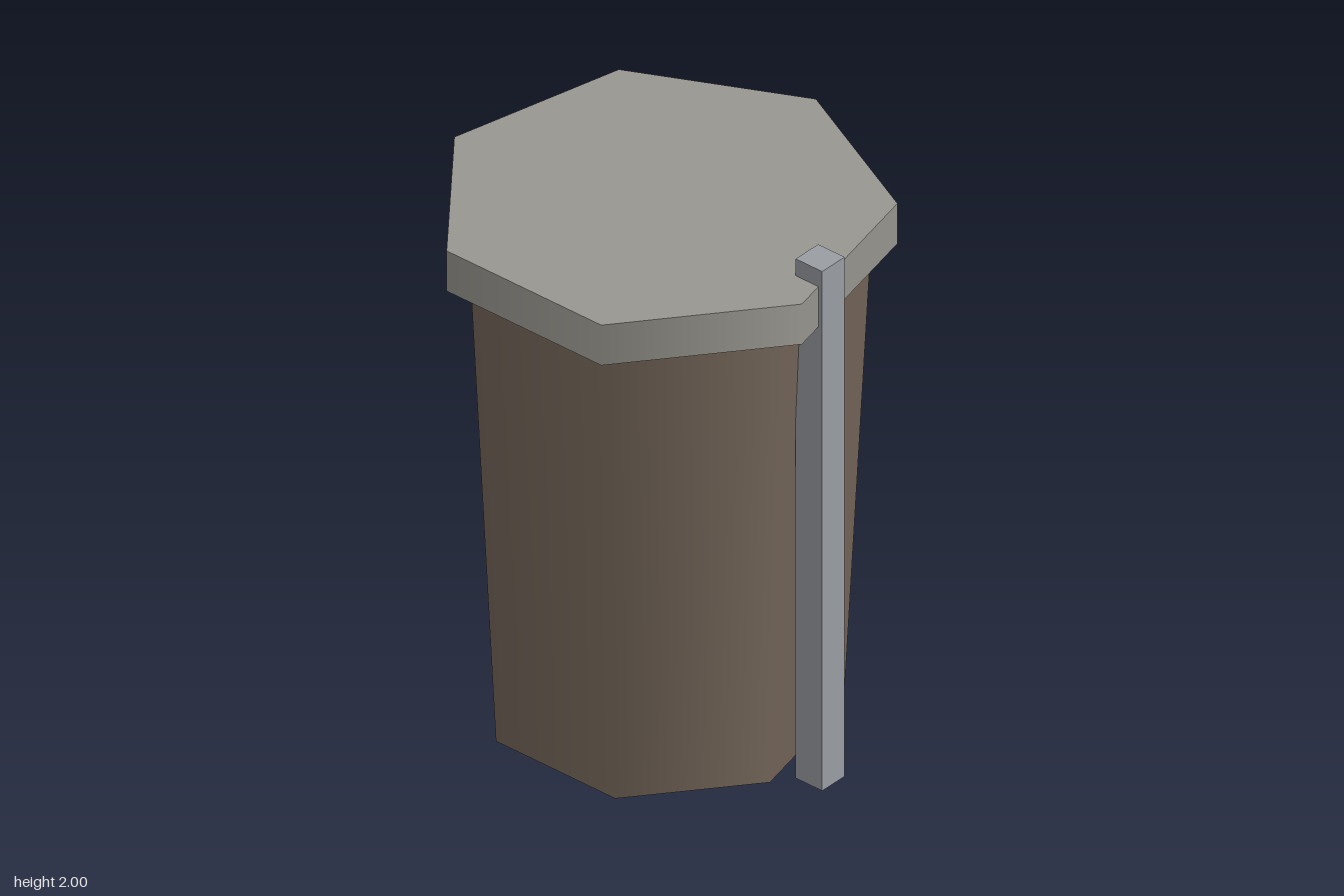
import * as THREE from 'three';

const SIDES = 7;
const CENTRE_X = -0.038;

function part(name, geometry, color, x, y, z) {
  const mesh = new THREE.Mesh(geometry, new THREE.MeshStandardMaterial({ color }));
  mesh.name = name;
  mesh.position.set(x, y, z);
  return mesh;
}

// Smooth-shaded seven-sided prism with one corner on +x
function prism(rTop, rBottom, height) {
  return new THREE.CylinderGeometry(rTop, rBottom, height, SIDES, 1, false, Math.PI / 2);
}

export function createModel() {
  const model = new THREE.Group();
  model.name = 'barrel';

  // Tapered body, wider at the top
  model.add(part('body', prism(0.668, 0.58, 1.785), 0x75675a, CENTRE_X, 0.8925, 0));

  // Overhanging lid
  model.add(part('lid', prism(0.752, 0.752, 0.155), 0x999790, CENTRE_X, 1.8575, 0));

  // Square post running up the front and past the lid
  model.add(part('post', new THREE.BoxGeometry(0.11, 2, 0.112), 0x9a9ea3, -0.04, 1, 0.668));

  return model;
}
